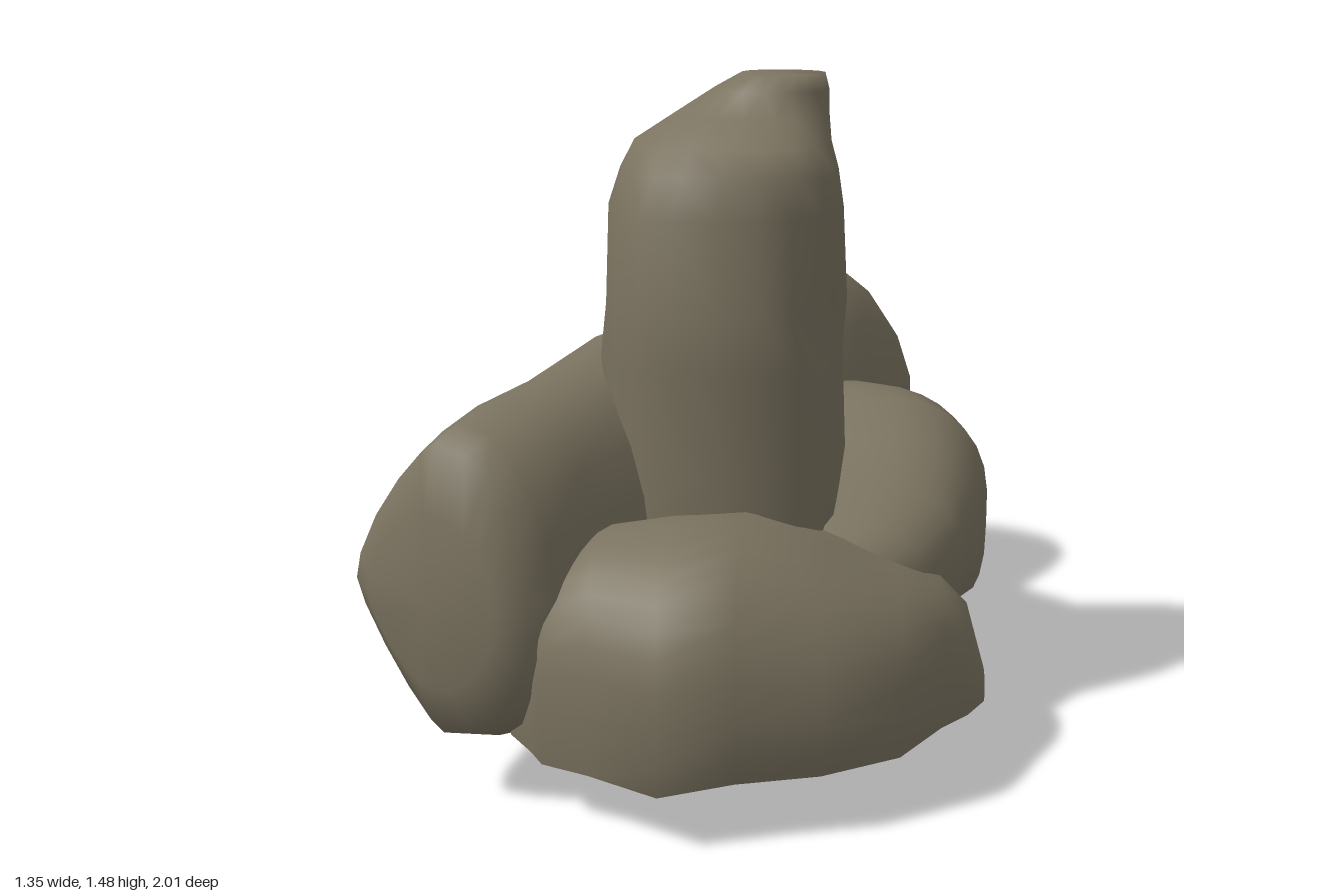
import * as THREE from 'three';

const stone = new THREE.MeshStandardMaterial({ color: 0x7b7360, side: THREE.DoubleSide });
stone.name = 'weathered stone';

const SIDES = 20;
const pow = (v, p) => Math.sign(v) * Math.abs(v) ** p;

// Gentle lumps that depend only on position
const lump = (x, y, z) =>
  0.008 * Math.sin(9 * x + 5 * y - 4 * z) + 0.008 * Math.sin(13 * y - 11 * z + 7 * x + 1.3);

// Lofts rounded rings. Each row is [t, a0, a1, b0, b1, wedge]; place(t, a, b) gives the point.
// An open rock is an arch cut off flat at b0. A smaller square gives boxier rings;
// wedge replaces it on the low-a half, where values above 1 chamfer the corners.
function rock(name, rows, place, { open = false, square = 0.85 } = {}) {
  const cut = open ? 0.4 : 1;
  const start = open ? -Math.asin(cut) : -Math.PI / 2;
  const sweep = open ? Math.PI - 2 * start : Math.PI * 2;
  const n = open ? SIDES + 1 : SIDES;
  const floor = pow(cut, square);
  const pos = [], index = [];

  for (const [t, a0, a1, b0, b1, wedge = square] of rows) {
    for (let j = 0; j < n; j++) {
      const angle = start + (sweep * j) / SIDES;
      const power = Math.cos(angle) < 0 ? wedge : square;
      const ca = pow(Math.cos(angle), power);
      const sb = pow(Math.sin(angle), power);
      const a = (a0 + a1) / 2 + (ca * (a1 - a0)) / 2;
      const b = b0 + ((b1 - b0) * (sb + floor)) / (1 + floor);
      const d = lump(...place(t, a, b));
      const rim = open && (j === 0 || j === n - 1);
      pos.push(...place(t, a + ca * d, rim ? b : b + sb * d));
    }
  }
  for (let i = 0; i < rows.length - 1; i++) {
    for (let j = 0; j < SIDES; j++) {
      const p = i * n + j, q = i * n + ((j + 1) % n);
      index.push(p, q, p + n, q, q + n, p + n);
    }
  }
  // End caps
  for (const row of [0, rows.length - 1]) {
    const [t, a0, a1, b0, b1] = rows[row];
    const c = pos.length / 3;
    pos.push(...place(t, (a0 + a1) / 2, (b0 + b1) / 2));
    for (let j = 0; j < SIDES; j++) {
      const p = row * n + j, q = row * n + ((j + 1) % n);
      index.push(c, ...(row === 0 ? [q, p] : [p, q]));
    }
  }
  const geometry = new THREE.BufferGeometry();
  geometry.setAttribute('position', new THREE.Float32BufferAttribute(pos, 3));
  geometry.setIndex(index);
  geometry.computeVertexNormals();
  const mesh = new THREE.Mesh(geometry, stone);
  mesh.name = name;
  return mesh;
}

export function createModel() {
  const group = new THREE.Group();
  group.name = 'rockCluster';

  // Long boulder lying diagonally, from its back end to its wedge-like front end
  group.add(rock('fallenBoulder', [
    [1.0, -0.22, -0.16, 0.2, 0.45],
    [0.95, -0.25, 0.08, 0.13, 0.64],
    [0.89, -0.28, 0.17, 0.07, 0.76],
    [0.82, -0.335, 0.215, 0.05, 0.85],
    [0.72, -0.34, 0.23, 0.06, 0.91],
    [0.56, -0.34, 0.21, 0.03, 0.965],
    [0.37, -0.34, 0.2, 0.0, 0.91],
    [0.25, -0.345, 0.2, 0.015, 0.915],
    [0.08, -0.375, 0.18, 0.06, 0.88, 1],
    [-0.2, -0.365, 0.15, 0.065, 0.87, 1.05],
    [-0.5, -0.365, 0.13, 0.08, 0.85, 1.15],
    [-0.72, -0.35, 0.12, 0.11, 0.835, 1.3],
    [-0.85, -0.345, 0.1, 0.13, 0.81, 1.45],
    [-0.91, -0.345, 0.06, 0.15, 0.78, 1.5],
    [-0.95, -0.29, 0.0, 0.26, 0.64, 1.3],
  ], (s, v, y) => [0.386 * s + 0.922 * v, y, -0.922 * s + 0.386 * v], { square: 0.9 }));

  // Upright stone with a narrowed foot and a stepped, off-centre peak
  group.add(rock('standingStone', [
    [0.13, -0.06, 0.22, 0.12, 0.47],
    [0.24, -0.15, 0.29, 0.08, 0.53],
    [0.38, -0.18, 0.31, -0.01, 0.56],
    [0.65, -0.19, 0.34, -0.05, 0.58],
    [0.88, -0.195, 0.33, -0.04, 0.59],
    [1.0, -0.18, 0.325, 0.01, 0.59],
    [1.2, -0.19, 0.315, 0.05, 0.58],
    [1.28, -0.16, 0.31, 0.06, 0.55],
    [1.34, -0.13, 0.295, 0.09, 0.52],
    [1.39, -0.06, 0.285, 0.11, 0.4],
    [1.445, 0.03, 0.28, 0.13, 0.385],
    [1.48, 0.1, 0.27, 0.2, 0.34],
  ].map(([y, x0, x1, z0, z1]) => [y, z0, z1, x0, x1]), (y, z, x) => [x, y, z]));

  // Low hollow rock across the front, from its left end to its right end
  group.add(rock('frontRock', [
    [0.65, 0.35, 0.47, 0.13, 0.2],
    [0.61, 0.29, 0.55, 0.13, 0.34],
    [0.55, 0.25, 0.63, 0.13, 0.4],
    [0.46, 0.2, 0.79, 0.13, 0.45],
    [0.3, 0.2, 0.89, 0.13, 0.52],
    [0.13, 0.38, 0.95, 0.13, 0.59],
    [-0.02, 0.43, 1.0, 0.12, 0.59],
    [-0.17, 0.47, 0.9, 0.12, 0.575],
    [-0.27, 0.53, 0.85, 0.12, 0.53],
    [-0.3, 0.55, 0.81, 0.13, 0.42],
    [-0.35, 0.58, 0.75, 0.14, 0.2],
  ], (x, z, y) => [x, y, z], { open: true }));

  // Raised rock on the side, from back to front
  group.add(rock('sideRock', [
    [-0.41, 0.32, 0.43, 0.36, 0.56],
    [-0.38, 0.23, 0.47, 0.27, 0.61],
    [-0.28, 0.16, 0.55, 0.25, 0.66],
    [-0.19, 0.12, 0.66, 0.25, 0.67],
    [0.0, 0.1, 0.675, 0.26, 0.685],
    [0.12, 0.1, 0.65, 0.27, 0.64],
    [0.27, 0.1, 0.6, 0.28, 0.56],
    [0.42, 0.12, 0.53, 0.28, 0.52],
    [0.49, 0.2, 0.42, 0.3, 0.45],
  ], (z, x, y) => [x, y, z], { open: true, square: 0.8 }));

  return group;
}
